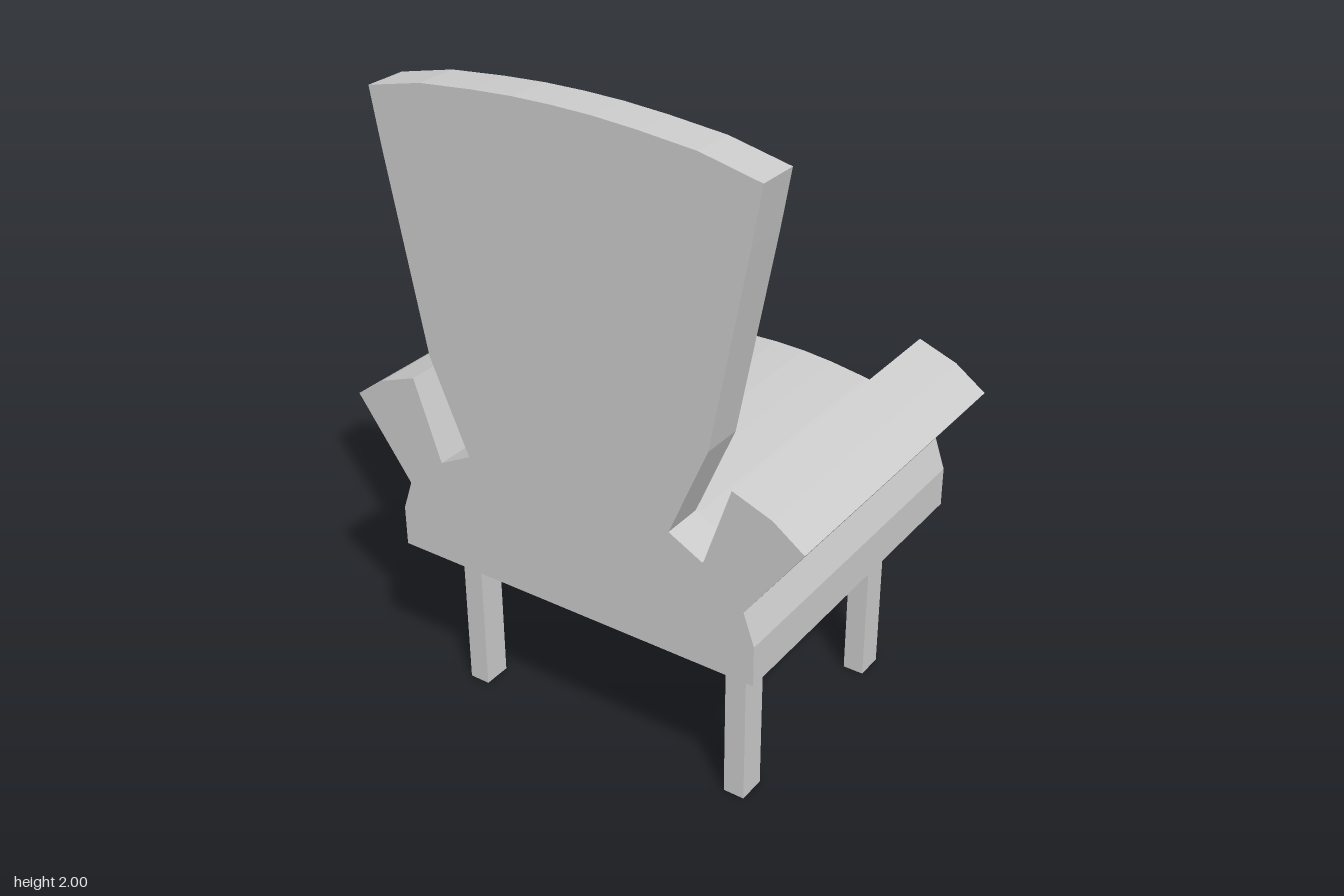
import * as THREE from 'three';

const material = new THREE.MeshStandardMaterial({ color: 0xcccccc, flatShading: true });

// Closed outline from the right half, listed from bottom to the top centre and mirrored in x
function mirrored(half) {
  const left = half.filter(([x]) => x > 0).reverse().map(([x, y]) => [-x, y]);
  return [...half, ...left];
}

// Slab with the given x/y outline between two z positions
function slab(name, outline, z0, z1) {
  const shape = new THREE.Shape(outline.map(([x, y]) => new THREE.Vector2(x, y)));
  const geometry = new THREE.ExtrudeGeometry(shape, { depth: z1 - z0, bevelEnabled: false });
  geometry.translate(0, 0, z0);
  const mesh = new THREE.Mesh(geometry, material);
  mesh.name = name;
  return mesh;
}

export function createModel() {
  const chair = new THREE.Group();
  chair.name = 'armchair';

  // Domed seat
  chair.add(slab('seat', mirrored([
    [0.6, 0.525], [0.6, 0.65], [0.565, 0.75], [0.5, 0.79], [0.43, 0.83],
    [0.405, 0.848], [0.38, 0.862], [0.32, 0.878], [0.2, 0.897], [0.1, 0.907], [0, 0.91],
  ]), -0.54, 0.537));

  // Flared backrest with a wide foot and an arched top
  chair.add(slab('backrest', mirrored([
    [0.42, 0.7], [0.44, 0.855], [0.335, 0.91], [0.455, 1.19], [0.568, 1.77],
    [0.597, 1.935], [0.42, 1.974], [0.25, 1.99], [0.12, 1.998], [0, 2],
  ]), 0.413, 0.54));

  // Outward-leaning armrests
  const arm = [[0.43, 0.82], [0.565, 0.745], [0.74, 0.987], [0.645, 1.055], [0.525, 1.1]];
  chair.add(slab('leftArmrest', arm, -0.468, 0.538));
  chair.add(slab('rightArmrest', arm.map(([x, y]) => [-x, y]).reverse(), -0.468, 0.538));

  // Four straight legs
  for (const [side, x] of [['left', 0.467], ['right', -0.467]]) {
    for (const [end, z] of [['Rear', 0.366], ['Front', -0.325]]) {
      const leg = new THREE.Mesh(new THREE.BoxGeometry(0.066, 0.54, 0.088), material);
      leg.position.set(x, 0.27, z);
      leg.name = `${side}${end}Leg`;
      chair.add(leg);
    }
  }
  return chair;
}
